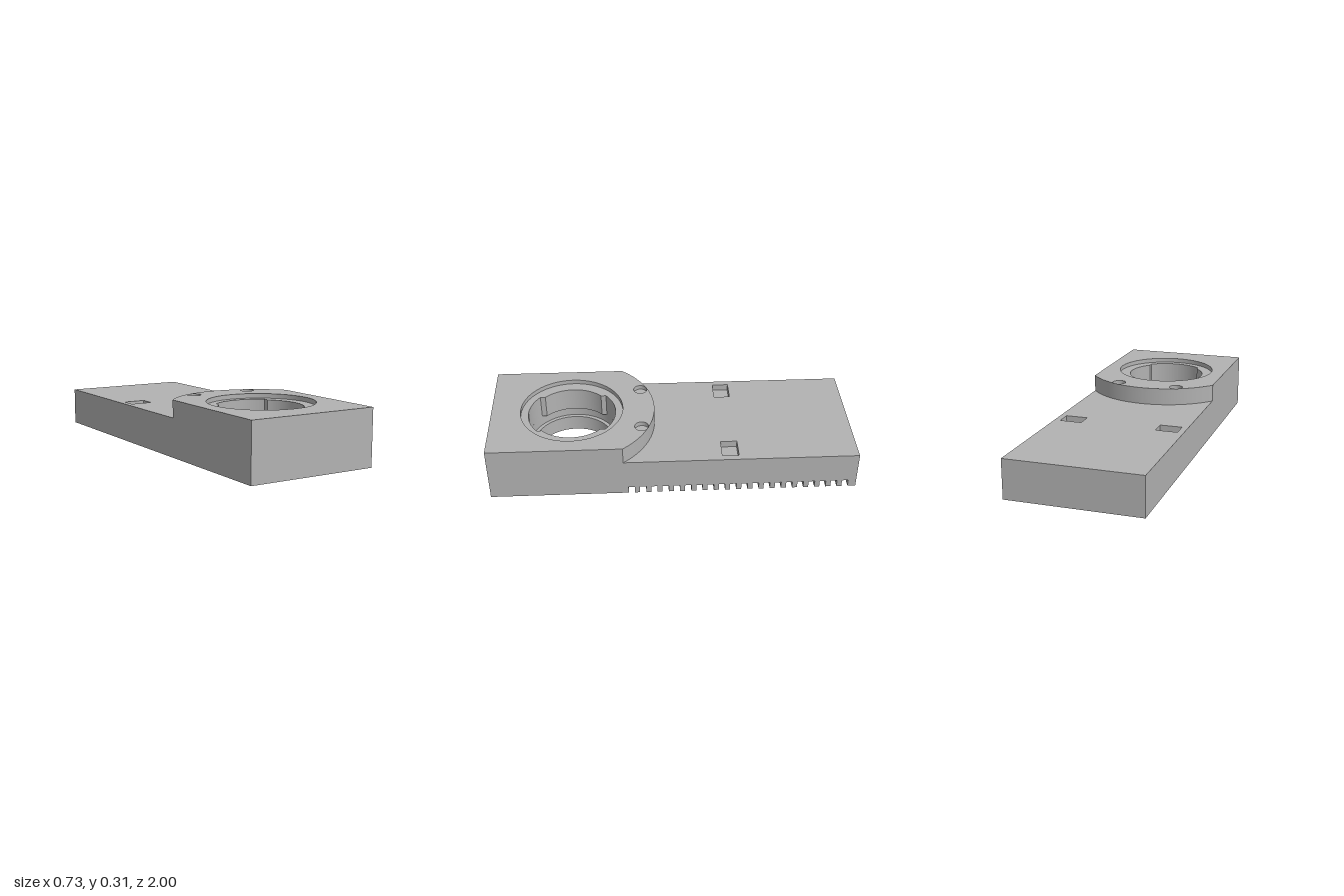
import * as THREE from 'three';
import { toCreasedNormals } from 'three/addons/utils/BufferGeometryUtils.js';

const W = 0.365;          // half width
const WALL = 0.05;        // skirt thickness
const CZ = 0.555;         // socket centre along z
const R_SOCKET = 0.284, R_BORE = 0.222, R_KEY = 0.243, R_BOSS = 0.46;
const CEIL = 0.08, DECK = 0.213, TOP = 0.308, RECESS = 0.283, SLOT = 0.04;

// Shapes are drawn in plan: first coordinate is x, second is z
const poly = (pts) => new THREE.Shape(pts.map(([x, z]) => new THREE.Vector2(x, z)));
const rect = (x0, x1, z0, z1) => poly([[x0, z0], [x1, z0], [x1, z1], [x0, z1]]);
const circle = (x, z, r) => new THREE.Shape().absarc(x, z, r, 0, Math.PI * 2);

export function createModel() {
  const group = new THREE.Group();
  const grey = new THREE.MeshStandardMaterial({ color: 0xb2b2b2 });
  grey.name = 'grey';

  // Extrudes a plan shape with holes between two heights
  function slab(name, shape, holes, y0, y1) {
    shape.holes = holes;
    const geo = new THREE.ExtrudeGeometry(shape, { depth: y1 - y0, bevelEnabled: false, curveSegments: 48 });
    geo.rotateX(Math.PI / 2).translate(0, y1, 0);
    const mesh = new THREE.Mesh(toCreasedNormals(geo, 0.5), grey);
    mesh.name = name;
    group.add(mesh);
  }

  const bore = () => circle(0, CZ, R_SOCKET);
  const inner = W - WALL, end = 1 - WALL;

  // Skirt: lower course open along the slotted side, upper course closed
  const first = 0.25, pitch = 0.0617, slot = 0.034, count = 20;
  const last = first - pitch * (count - 1) - slot;
  slab('skirtLower', poly([
    [W, first], [W, 1], [-W, 1], [-W, -1], [W, -1], [W, last],
    [inner, last], [inner, -end], [-inner, -end], [-inner, end], [inner, end], [inner, first],
  ]), [], 0, SLOT);
  slab('skirtUpper', rect(-W, W, -1, 1), [rect(-inner, inner, -end, end)], SLOT, CEIL);

  // Teeth between the slots on the left side
  for (let i = 0; i < count - 1; i++) {
    const z1 = first - pitch * i - slot;
    slab('tooth', rect(inner, W, z1 - (pitch - slot), z1), [], 0, SLOT);
  }

  // Deck with two shallow rectangular pockets
  const pocketFloor = 0.175;
  const pockets = [-1, 1].map((s) => rect(s * 0.27 - 0.061, s * 0.27 + 0.061, -0.35, -0.26));
  slab('deckLower', rect(-W, W, -1, 1), [bore()], CEIL, pocketFloor);
  slab('deckUpper', rect(-W, W, -1, 1), [bore(), ...pockets], pocketFloor, DECK);

  // Raised boss with a rounded back edge and two blind pin holes
  const boss = () => {
    const t = -Math.acos(W / R_BOSS);
    return new THREE.Shape().moveTo(-W, 1).lineTo(W, 1)
      .absarc(0, CZ, R_BOSS, t, -Math.PI - t, true);
  };
  const pins = [-1, 1].map((s) => circle(s * 0.173, 0.17, 0.038));
  slab('bossLower', boss(), [bore()], DECK, RECESS);
  slab('bossUpper', boss(), [bore(), ...pins], RECESS, TOP);

  // Socket: plain ring, locking groove, then a lip with two key slots
  const a = Math.acos(0.155 / R_KEY), b = Math.acos(0.155 / R_BORE), PI = Math.PI;
  const keyed = new THREE.Path()
    .absarc(0, CZ, R_BORE, -b, b)
    .absarc(0, CZ, R_KEY, a, PI - a)
    .absarc(0, CZ, R_BORE, PI - b, PI + b)
    .absarc(0, CZ, R_KEY, PI + a, 2 * PI - a);
  slab('socketBase', bore(), [circle(0, CZ, R_BORE)], 0, 0.09);
  slab('socketGroove', bore(), [circle(0, CZ, R_KEY)], 0.09, 0.15);
  slab('socketLip', bore(), [keyed], 0.15, RECESS);

  return group;
}
